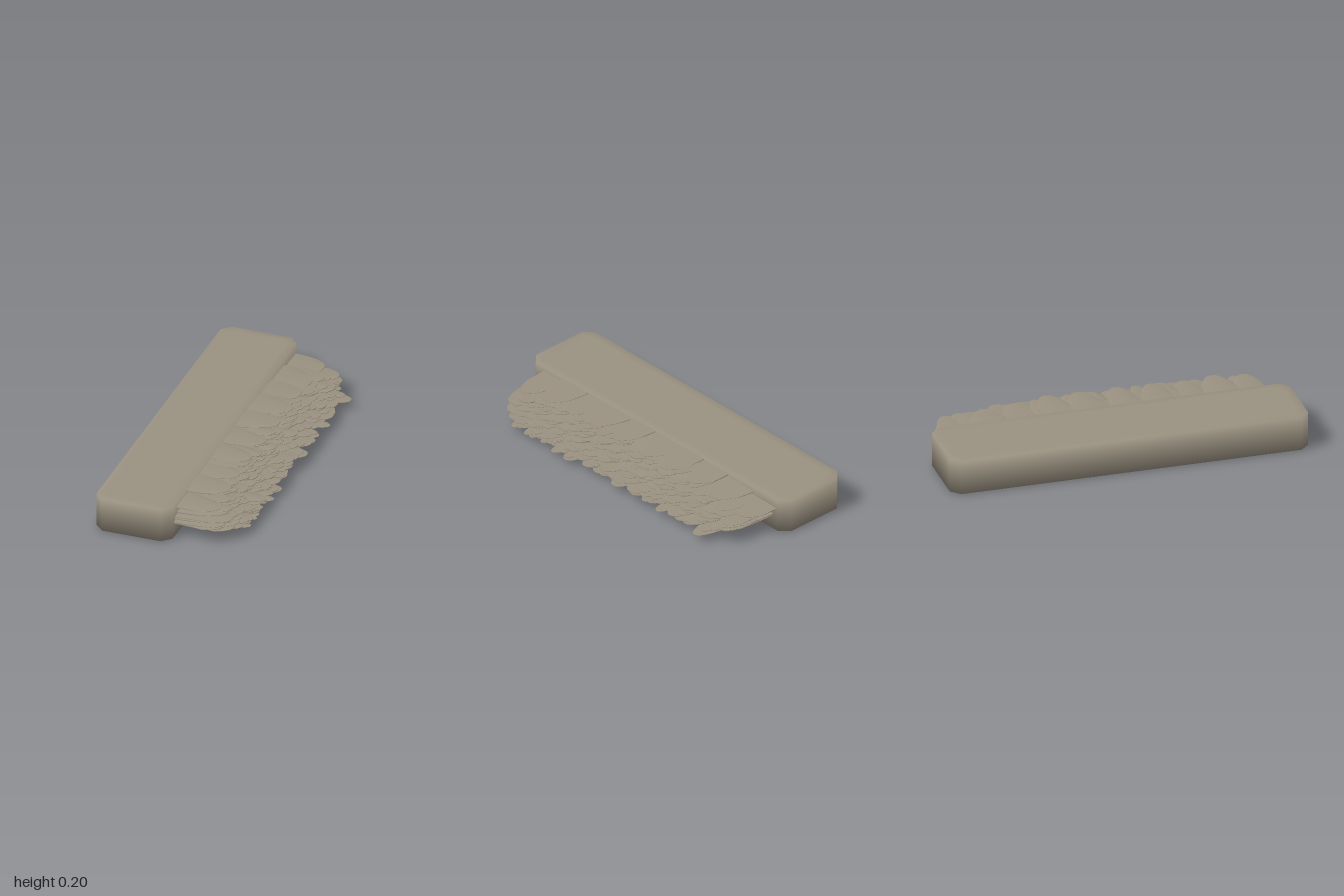
import * as THREE from 'three';
import { mergeGeometries, toCreasedNormals } from 'three/addons/utils/BufferGeometryUtils.js';

function seeded(seed) {
  return () => {
    seed = (seed * 1664525 + 1013904223) % 4294967296;
    return seed / 4294967296;
  };
}

// Octagonal outline of a rectangle with cut corners, from +x towards +z
function outline(hx, hz, c) {
  return [[hx, -hz + c], [hx, hz - c], [hx - c, hz], [-hx + c, hz],
    [-hx, hz - c], [-hx, -hz + c], [-hx + c, -hz], [hx - c, -hz]];
}

// Handle block: stacked outlines, softly shaded around the edges
function blockGeometry() {
  const edge = outline(0.2175, 1, 0.05), inset = outline(0.17, 0.952, 0.03), point = outline(0, 0, 0);
  const rings = [[point, 0], [inset, 0], [edge, 0.004], [edge, 0.196], [inset, 0.2], [point, 0.2]];
  const pos = [], nor = [], index = [];
  rings.forEach(([pts, y], k) => {
    pts.forEach(([x, z], i) => {
      pos.push(x - 0.2025, y, z);
      const n = new THREE.Vector3(0, k < 3 ? -1 : 1, 0);
      if (pts === edge) {
        n.x = Math.sign(x) * (Math.abs(x) > 0.2 ? 0.25 : 0.1);
        n.z = Math.sign(z) * (Math.abs(z) > 0.97 ? 0.25 : 0.1);
      }
      n.normalize();
      nor.push(n.x, n.y, n.z);
      if (k < rings.length - 1) {
        const a = k * 8 + i, b = k * 8 + (i + 1) % 8;
        index.push(a, a + 8, b, b, a + 8, b + 8);
      }
    });
  });
  const g = new THREE.BufferGeometry();
  g.setAttribute('position', new THREE.Float32BufferAttribute(pos, 3));
  g.setAttribute('normal', new THREE.Float32BufferAttribute(nor, 3));
  g.setIndex(index);
  return g;
}

// One thin tongue-shaped flake growing along +x with a rounded, ragged tip
function flakeGeometry({ y, z, length, width, thick, round, skew, crown, droop }) {
  const g = new THREE.BoxGeometry(1, 1, 1, 6, 1, 8);
  const p = g.attributes.position;
  for (let i = 0; i < p.count; i++) {
    const u = p.getX(i) + 0.5, v = p.getZ(i) * 2, side = p.getY(i);
    const reach = length * (1 - round * Math.pow(Math.abs(v), 2.6));
    const taper = (1 - 0.75 * u * u) * (1 - 0.6 * v * v);
    p.setXYZ(i,
      u * reach,
      y + side * thick * taper - crown * v * v * (0.4 + 0.6 * u) - droop * u * u,
      z + v * width * (1 - 0.18 * u * u) + skew * u * u);
  }
  return toCreasedNormals(g, 0.9);
}

// How far the flakes reach at each height
const REACH = [[0, 0.24], [0.015, 0.26], [0.03, 0.36], [0.045, 0.4], [0.07, 0.375],
  [0.09, 0.34], [0.12, 0.295], [0.16, 0.255], [0.2, 0.225]];
function reachAt(y) {
  const i = Math.max(1, REACH.findIndex(([h]) => h >= y));
  const [y0, r0] = REACH[i - 1], [y1, r1] = REACH[i];
  return THREE.MathUtils.lerp(r0, r1, (y - y0) / (y1 - y0));
}

function flakeLayers() {
  const rnd = seeded(11);
  const span = (a, b) => a + (b - a) * rnd();
  const flakes = [];
  const layers = 17;
  for (let k = 0; k < layers; k++) {
    const level = 0.018 + (k / (layers - 1)) * 0.162;
    const t = (level - 0.097) / 0.094;
    const half = 0.92 * Math.sqrt(Math.max(0.1, 1 - t * t));
    let z = -half + span(0, 0.05);
    while (z < half - 0.03) {
      const width = span(0.05, 0.1);
      const centre = Math.min(z + width * 0.85, half - width * 0.8);
      const y = level + span(-0.004, 0.004);
      const limit = 0.2 + (0.94 - Math.abs(centre)) * 0.9;
      flakes.push(flakeGeometry({
        y, z: centre, width,
        length: Math.min(reachAt(y) + span(-0.035, 0.014), limit),
        thick: span(0.008, 0.014), round: span(0.2, 0.45), skew: span(-0.025, 0.025),
        crown: span(0.001, 0.005), droop: span(-0.003, 0.004),
      }));
      z += width * 1.55;
    }
  }
  return mergeGeometries(flakes);
}

// Broad separate flakes on the upper and lower faces: z, y, half width, length
function outerFlakes() {
  const list = [
    [-0.1, 0.191, 0.1, 0.23], [0.1, 0.191, 0.09, 0.23], [0.28, 0.19, 0.09, 0.22],
    [-0.27, 0.19, 0.1, 0.24], [0.64, 0.186, 0.1, 0.23], [0.46, 0.183, 0.09, 0.22],
    [-0.45, 0.18, 0.11, 0.22], [-0.64, 0.165, 0.12, 0.22], [0.8, 0.165, 0.09, 0.24],
    [-0.83, 0.14, 0.11, 0.21], [0.06, 0.008, 0.11, 0.25], [-0.14, 0.012, 0.1, 0.22],
  ];
  return mergeGeometries(list.map(([z, y, width, length], i) => flakeGeometry({
    y, z, width, length, thick: 0.009, round: 0.42, skew: (i % 3 - 1) * 0.012,
    crown: y > 0.1 ? 0.004 : -0.003, droop: 0,
  })));
}

export function createModel() {
  const stone = new THREE.MeshStandardMaterial({ color: 0x999080 });
  stone.name = 'greyStone';
  const model = new THREE.Group();
  model.name = 'flakedBlock';
  const add = (name, geometry) => {
    const mesh = new THREE.Mesh(geometry, stone);
    mesh.name = name;
    model.add(mesh);
  };
  add('block', blockGeometry());
  add('flakeLayers', flakeLayers());
  add('outerFlakes', outerFlakes());
  return model;
}
